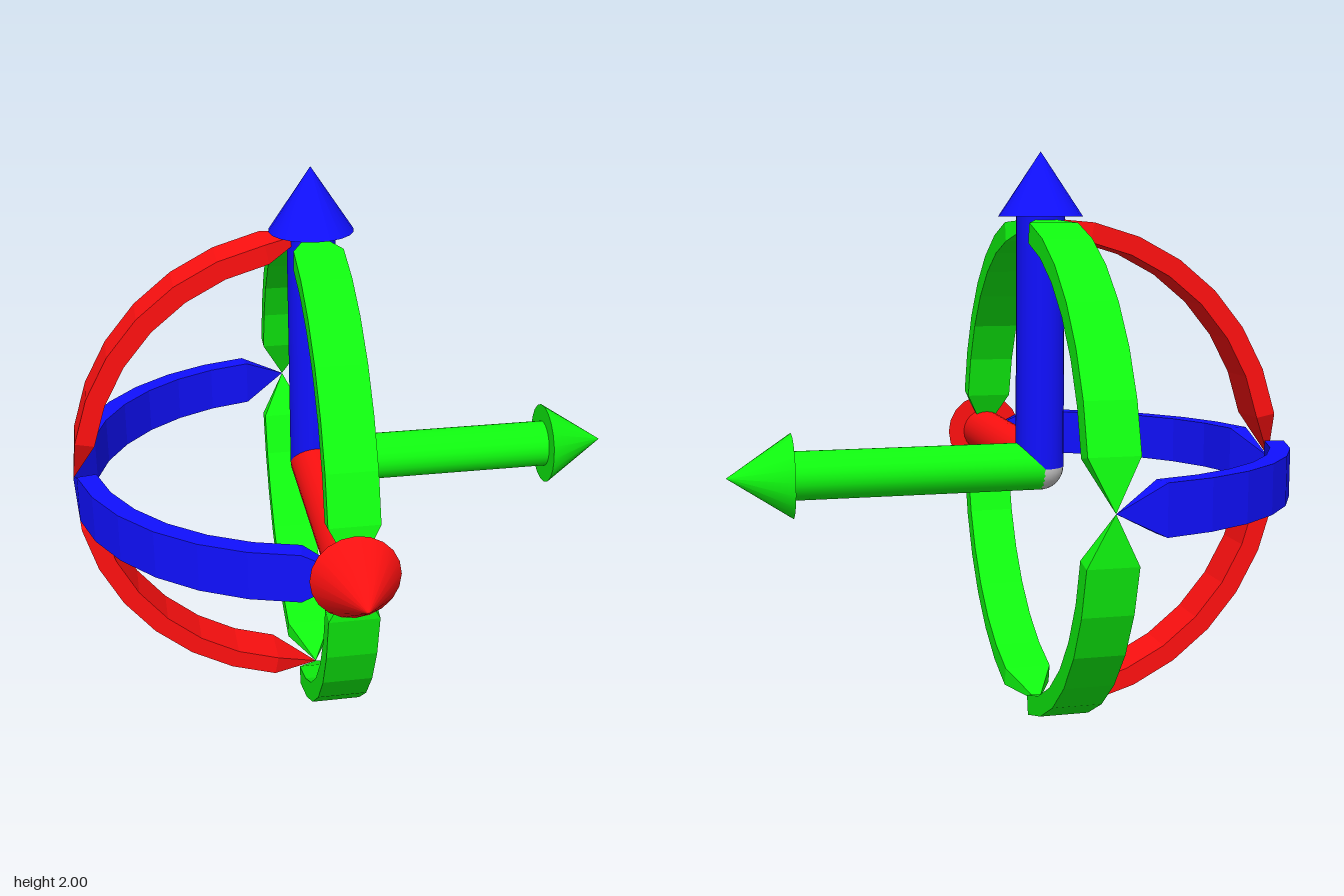
import * as THREE from 'three';

const RED = 0xff1010, GREEN = 0x10ff10, BLUE = 0x1010ff;
const OUTER = 0.885, INNER = 0.815, HALF_WIDTH = 0.086;
const SHAFT = 0.888, TIP = 1.113;

const material = (color, flatShading = false) => new THREE.MeshStandardMaterial({ color, flatShading });

function addMesh(parent, name, geometry, mat) {
  const mesh = new THREE.Mesh(geometry, mat);
  mesh.name = name;
  parent.add(mesh);
  return mesh;
}

// Shaft and cone pointing along +y, then turned to the given direction
function arrow(name, color, direction) {
  const group = new THREE.Group();
  group.name = name;
  const mat = material(color);
  addMesh(group, name + 'Shaft', new THREE.CylinderGeometry(HALF_WIDTH, HALF_WIDTH, SHAFT, 24), mat)
    .position.y = SHAFT / 2;
  addMesh(group, name + 'Head', new THREE.ConeGeometry(0.15, TIP - SHAFT, 20), mat)
    .position.y = (SHAFT + TIP) / 2;
  group.quaternion.setFromUnitVectors(new THREE.Vector3(0, 1, 0), direction);
  return group;
}

// Quarter band from +x to +y with a rectangular section; both ends shrink to a point on the outer radius
function quarterBand(segments = 8) {
  const positions = [], index = [];
  for (let i = 0; i <= segments; i++) {
    const t = (i / segments) * Math.PI / 2;
    const end = i === 0 || i === segments;
    const inner = end ? OUTER : INNER, w = end ? 0 : HALF_WIDTH;
    for (const [r, z] of [[inner, -w], [inner, w], [OUTER, w], [OUTER, -w]]) {
      positions.push(r * Math.cos(t), r * Math.sin(t), z);
    }
    if (i === 0) continue;
    for (let k = 0; k < 4; k++) {
      const a = (i - 1) * 4 + k, b = (i - 1) * 4 + (k + 1) % 4;
      if (i > 1) index.push(a, b, b + 4);
      else index.push(a, b + 4, a + 4);
      if (i > 1 && i < segments) index.push(a, b + 4, a + 4);
    }
  }
  const geometry = new THREE.BufferGeometry();
  geometry.setAttribute('position', new THREE.Float32BufferAttribute(positions, 3));
  geometry.setIndex(index);
  geometry.computeVertexNormals();
  return geometry;
}

export function createModel() {
  const model = new THREE.Group();
  model.name = 'rotationGizmo';
  model.position.set(-0.115, 0.887, -0.115);

  const X = new THREE.Vector3(1, 0, 0), Y = new THREE.Vector3(0, 1, 0), Z = new THREE.Vector3(0, 0, 1);
  const nX = X.clone().negate(), nY = Y.clone().negate(), nZ = Z.clone().negate();

  // Three axis arrows and the ball where they meet
  model.add(arrow('sideArrow', GREEN, X), arrow('upArrow', BLUE, Y), arrow('frontArrow', RED, Z));
  addMesh(model, 'centreBall', new THREE.SphereGeometry(HALF_WIDTH, 24, 16), material(0xcccccc));

  // Quarter bands, each spanning two axis directions
  const band = quarterBand();
  const rings = [
    ['uprightHalfRing', RED, [[nX, Y], [nX, nY]]],
    ['levelHalfRing', BLUE, [[nX, Z], [nX, nZ]]],
    ['crossRing', GREEN, [[Y, Z], [Z, nY], [nY, nZ], [nZ, Y]]],
  ];
  for (const [name, color, quarters] of rings) {
    const ring = new THREE.Group();
    ring.name = name;
    const mat = material(color, true);
    quarters.forEach(([u, v], i) => {
      const basis = new THREE.Matrix4().makeBasis(u, v, u.clone().cross(v));
      addMesh(ring, `${name}Quarter${i + 1}`, band, mat).quaternion.setFromRotationMatrix(basis);
    });
    model.add(ring);
  }

  const root = new THREE.Group();
  root.name = 'model';
  root.add(model);
  return root;
}
